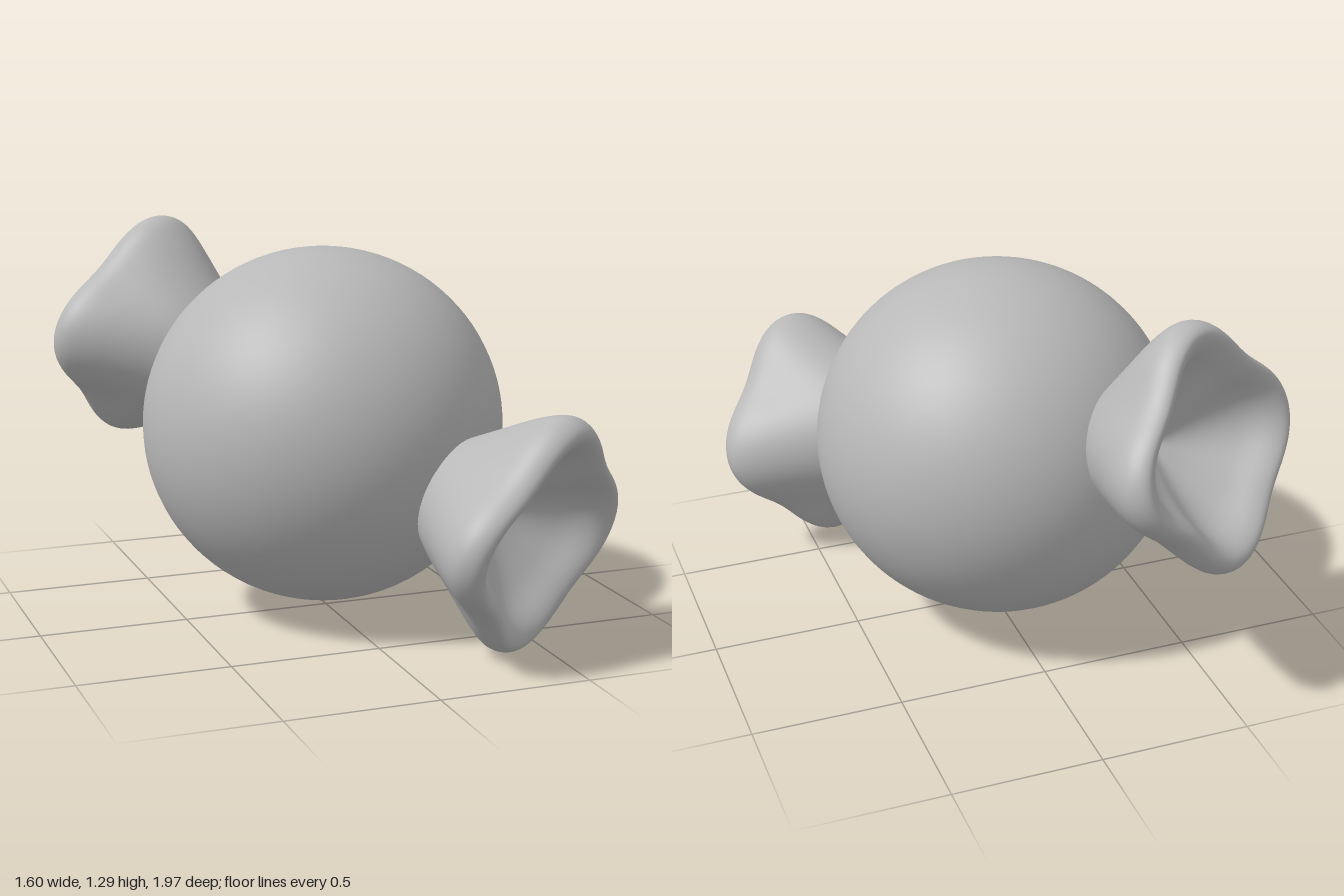
import * as THREE from 'three';
import { mergeVertices } from 'three/addons/utils/BufferGeometryUtils.js';

const LOBES = 4;

// Flared wrapper end: a lathed cup (outside, rounded rim, inner cone) waved into four lobes
function ruffleGeometry() {
  const profile = new THREE.SplineCurve([
    [0.13, 0.48], [0.205, 0.575], [0.275, 0.68], [0.34, 0.79], [0.373, 0.87],
    [0.365, 0.925], [0.335, 0.95], [0.29, 0.925], [0.22, 0.84], [0.11, 0.745], [0, 0.67],
  ].map(([r, t]) => new THREE.Vector2(r, t))).getPoints(50);
  profile[profile.length - 1].x = 0;
  let geometry = new THREE.LatheGeometry(profile, 96);
  const p = geometry.attributes.position;
  for (let i = 0; i < p.count; i++) {
    const x = p.getX(i), z = p.getZ(i);
    const wave = Math.cos(LOBES * Math.atan2(z, x));
    // lobes grow stronger towards the rim
    const strength = 0.1 * THREE.MathUtils.smoothstep(p.getY(i), 0.52, 0.85);
    const k = 1 + strength * wave;
    p.setXYZ(i, x * k, p.getY(i), z * k);
  }
  geometry.deleteAttribute('uv');
  geometry.deleteAttribute('normal');
  geometry = mergeVertices(geometry, 1e-5);
  geometry.computeVertexNormals();
  return geometry;
}

export function createModel() {
  const model = new THREE.Group();
  const grey = new THREE.MeshStandardMaterial({ color: 0xb8b8b8 });
  grey.name = 'grey';

  // Round centre of the sweet
  const ball = new THREE.Mesh(new THREE.SphereGeometry(1, 64, 48), grey);
  ball.name = 'candyBall';
  ball.scale.set(0.606, 0.597, 0.61);
  ball.position.set(-0.012, 0.632, 0.003);
  model.add(ball);

  // Matching wrapper ends along one tilted axis
  const axis = new THREE.Vector3(0.49, -0.276, 0.827).normalize();
  const side = new THREE.Vector3(axis.z, 0, -axis.x).normalize();
  const geometry = ruffleGeometry();
  for (const [name, sign] of [['frontWrapperEnd', 1], ['backWrapperEnd', -1]]) {
    const out = axis.clone().multiplyScalar(sign);
    const basis = new THREE.Matrix4().makeBasis(side, out, side.clone().cross(out));
    const ruffle = new THREE.Mesh(geometry, grey);
    ruffle.name = name;
    ruffle.quaternion.setFromRotationMatrix(basis);
    ruffle.position.set(0, 0.633, 0.005);
    model.add(ruffle);
  }
  return model;
}
